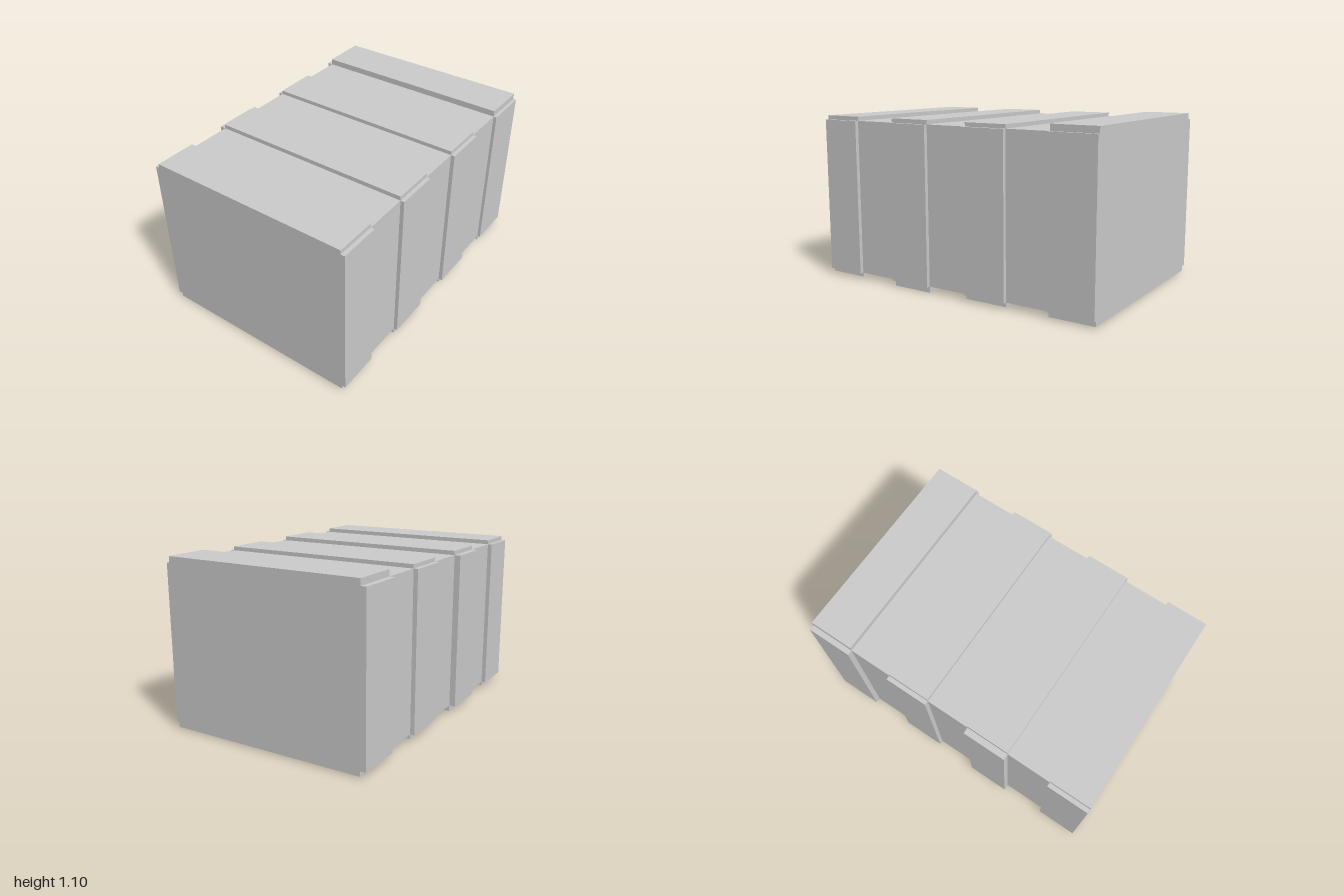
import * as THREE from 'three';

const material = new THREE.MeshStandardMaterial({ color: 0xcccccc, flatShading: true });

// Limits of the inner container body
const L = -0.66, R = 0.67, B = 0.04, T = 1.055;

// Raised band around the body: a rectangle with its four corners notched
function band({ name, z0, z1, left, right, bottom, top }) {
  const shape = new THREE.Shape([
    [L, bottom], [R, bottom], [R, B], [right, B], [right, T], [R, T],
    [R, top], [L, top], [L, T], [left, T], [left, B], [L, B],
  ].map(([x, y]) => new THREE.Vector2(x, y)));
  const geometry = new THREE.ExtrudeGeometry(shape, { depth: z1 - z0, bevelEnabled: false });
  const mesh = new THREE.Mesh(geometry, material);
  mesh.name = name;
  mesh.position.z = z0;
  return mesh;
}

export function createModel() {
  const group = new THREE.Group();
  group.name = 'ribbedCrate';

  // Inner body, its ends tucked inside the end bands
  const z0 = -0.72, z1 = 0.75;
  const body = new THREE.Mesh(new THREE.BoxGeometry(R - L, T - B, z1 - z0), material);
  body.name = 'body';
  body.position.set((L + R) / 2, (B + T) / 2, (z0 + z1) / 2);
  group.add(body);

  // Four bands, each slightly different in size
  const bands = [
    { name: 'backBand', z0: -1, z1: -0.702, left: -0.695, right: 0.69, bottom: 0.008, top: 1.095 },
    { name: 'backMiddleBand', z0: -0.415, z1: -0.13, left: -0.688, right: 0.695, bottom: 0.012, top: 1.08 },
    { name: 'frontMiddleBand', z0: 0.157, z1: 0.44, left: -0.7, right: 0.695, bottom: 0, top: 1.082 },
    { name: 'frontBand', z0: 0.73, z1: 1, left: -0.688, right: 0.695, bottom: 0.014, top: 1.082 },
  ];
  bands.forEach((b) => group.add(band(b)));
  return group;
}
